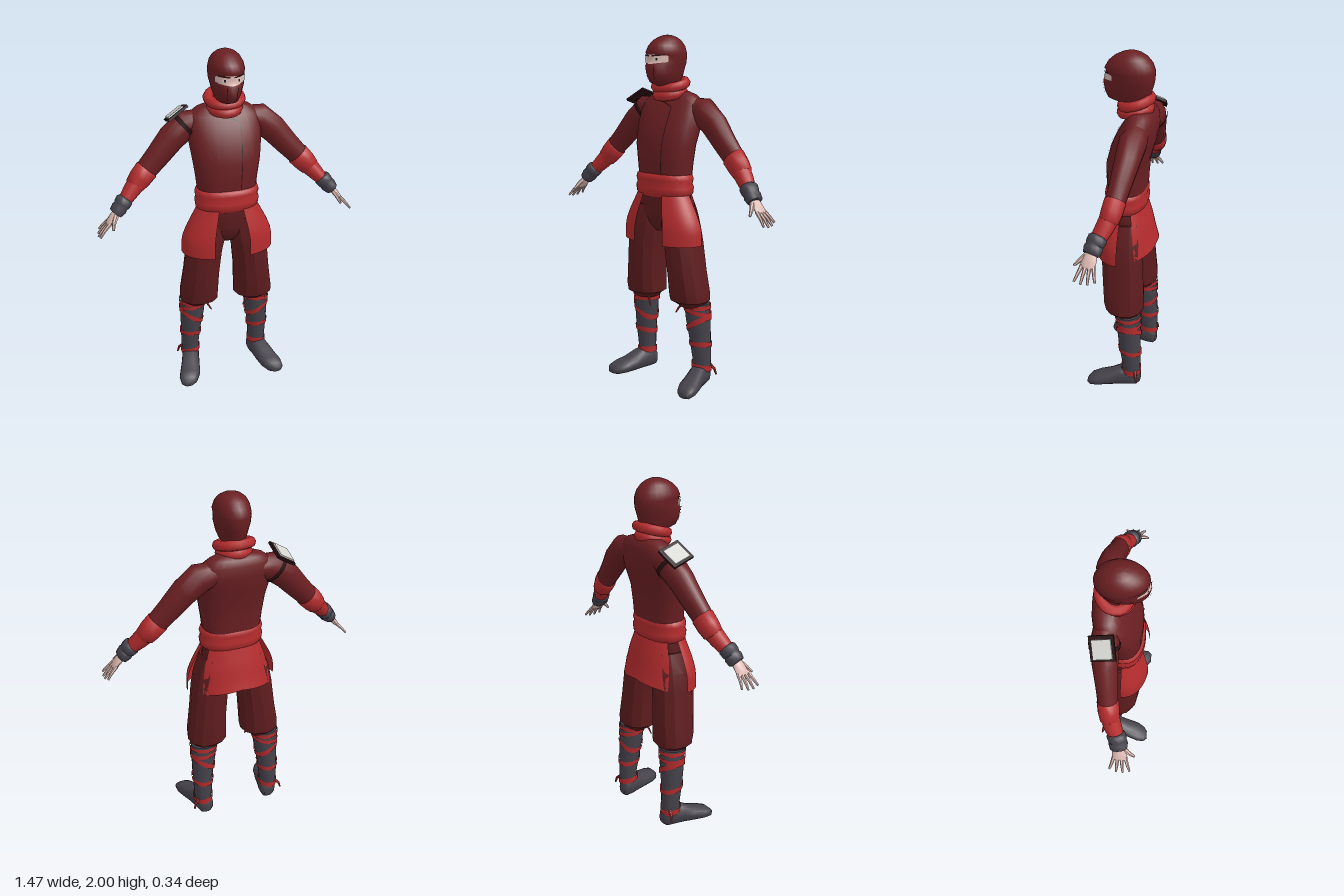
import * as THREE from 'three';
import { toCreasedNormals } from 'three/addons/utils/BufferGeometryUtils.js';

const mat = (name, color, side = THREE.FrontSide) => {
  const m = new THREE.MeshStandardMaterial({ color, side });
  m.name = name;
  return m;
};
const V = (x, y, z) => new THREE.Vector3(x, y, z);
const UP = V(0, 1, 0);
const lerp = THREE.MathUtils.lerp;
const spow = (v, p) => Math.sign(v) * Math.abs(v) ** p;

// Skin a list of point rows; optionally closed around and capped at the ends
function surface(rows, { closed = false, caps = false, crease = 0.9 } = {}) {
  const n = rows[0].length, pos = [], idx = [];
  rows.forEach(r => r.forEach(p => pos.push(p.x, p.y, p.z)));
  for (let i = 0; i < rows.length - 1; i++) {
    for (let j = 0; j < (closed ? n : n - 1); j++) {
      const k = (j + 1) % n, a = i * n + j, b = i * n + k;
      idx.push(a, b, a + n, b, b + n, a + n);
    }
  }
  if (caps) [0, rows.length - 1].forEach((r, end) => {
    const c = rows[r].reduce((s, p) => s.add(p), V(0, 0, 0)).divideScalar(n);
    const ci = pos.length / 3;
    pos.push(c.x, c.y, c.z);
    for (let j = 0; j < n; j++) {
      const a = r * n + j, b = r * n + (j + 1) % n;
      if (end) idx.push(a, b, ci); else idx.push(b, a, ci);
    }
  });
  const g = new THREE.BufferGeometry();
  g.setAttribute('position', new THREE.Float32BufferAttribute(pos, 3));
  g.setIndex(idx);
  return toCreasedNormals(g, crease);
}

// Loft elliptical sections [x, y, z, radiusA, radiusB]; radiusA lies along u
function loft(st, { n = 16, p = 1, u = V(1, 0, 0), dir = null, caps = true, crease = 0.9 } = {}) {
  const c = st.map(s => V(s[0], s[1], s[2]));
  const rows = st.map((s, i) => {
    const d = dir || c[Math.min(i + 1, c.length - 1)].clone().sub(c[Math.max(i - 1, 0)]).normalize();
    const U = u.clone().addScaledVector(d, -d.dot(u)).normalize();
    const W = d.clone().cross(U);
    return Array.from({ length: n }, (_, j) => {
      const t = j / n * Math.PI * 2;
      return c[i].clone().addScaledVector(U, s[3] * spow(Math.cos(t), p)).addScaledVector(W, s[4] * spow(Math.sin(t), p));
    });
  });
  return surface(rows, { closed: true, caps, crease });
}

// Section of an upright profile at height y
function at(prof, y) {
  let i = 0;
  while (i < prof.length - 2 && prof[i + 1][1] < y) i++;
  const a = prof[i], b = prof[i + 1];
  const t = THREE.MathUtils.clamp((y - a[1]) / (b[1] - a[1]), 0, 1);
  return a.map((v, k) => lerp(v, b[k], t));
}

// Thin patch lying just outside an upright profile; angle f runs from +z to +x
function patch(prof, f0, f1, lo, hi, { off = 0.005, p = 1, cols = 16, rows = 4 } = {}) {
  return surface(Array.from({ length: rows + 1 }, (_, i) => Array.from({ length: cols + 1 }, (_, j) => {
    const f = lerp(f0, f1, j / cols), y = lerp(lo(f), hi(f), i / rows), s = at(prof, y);
    return V(s[0] + (s[3] + off) * spow(Math.sin(f), p), y, s[2] + (s[4] + off) * spow(Math.cos(f), p));
  })));
}

export function createModel() {
  const root = new THREE.Group();
  const jacket = mat('dark red jacket', 0x6a1f22);
  const trousers = mat('deep red trousers', 0x5e1c1e);
  const red = mat('bright red cloth', 0xb42b2d, THREE.DoubleSide);
  const grey = mat('charcoal cloth', 0x45424b);
  const skin = mat('skin', 0xe0bcb4);
  const white = mat('pale metal', 0xd6d6d2);
  const dark = mat('near black red', 0x2a1012, THREE.DoubleSide);
  const add = (name, geo, m, parent = root) => {
    const mesh = new THREE.Mesh(geo, m);
    mesh.name = name;
    parent.add(mesh);
    return mesh;
  };
  const rod = (name, pts, r0, r1, m, n = 6) => add(name, loft(
    pts.map((q, i) => { const r = lerp(r0, r1, i / (pts.length - 1)); return [...q, r, r]; }),
    { n, u: V(0.1, 0.2, 1) }), m);

  // Torso
  const torso = [
    [0, 1.18, 0.005, 0.162, 0.105], [0, 1.3, 0.004, 0.175, 0.109], [0, 1.4, 0, 0.19, 0.112],
    [0, 1.5, -0.028, 0.203, 0.113], [0, 1.58, -0.053, 0.207, 0.102], [0, 1.64, -0.07, 0.195, 0.082],
    [0, 1.675, -0.075, 0.15, 0.062], [0, 1.695, -0.07, 0.09, 0.05]];
  add('torso', loft(torso, { n: 24, p: 0.85, dir: UP, crease: 1.2 }), jacket);
  const seam = { p: 0.85, off: 0.004 };
  add('jacketSeam', patch(torso, 0.26, 0.285, () => 1.24, () => 1.61, { ...seam, cols: 1, rows: 16 }), dark);
  add('jacketLapelEdge', patch(torso, 0, 0.285, f => 1.633 - f * 0.1, f => 1.639 - f * 0.1, { ...seam, cols: 6, rows: 1 }), dark);

  // Sash and skirt flaps
  add('sash', loft([
    [0, 1.11, 0.01, 0.16, 0.1], [0, 1.13, 0.01, 0.18, 0.115], [0, 1.165, 0.01, 0.184, 0.119],
    [0, 1.185, 0.01, 0.176, 0.111], [0, 1.21, 0.01, 0.183, 0.117], [0, 1.235, 0.01, 0.175, 0.112],
    [0, 1.246, 0.008, 0.155, 0.098]], { n: 24, p: 0.9, dir: UP }), red);
  const frontSkirt = [
    [0, 0.85, 0.008, 0.265, 0.155], [0, 0.94, 0.008, 0.263, 0.153], [0, 1.01, 0.008, 0.236, 0.142], [0, 1.13, 0.008, 0.172, 0.112]];
  const backSkirt = [
    [0, 0.86, 0, 0.235, 0.175], [0, 0.93, 0, 0.228, 0.153], [0, 1.02, 0.003, 0.212, 0.136], [0, 1.13, 0.008, 0.172, 0.11]];
  for (const s of [1, -1]) {
    const [f0, f1] = s > 0 ? [0.36, 1.6] : [-1.6, -0.36];
    add(s > 0 ? 'leftFrontFlap' : 'rightFrontFlap',
      patch(frontSkirt, f0, f1, () => 0.85, () => 1.13, { off: 0, p: 0.9, cols: 10, rows: 8 }), red);
  }
  add('backFlap', patch(backSkirt, Math.PI - 1.05, Math.PI + 1.05,
    f => 0.89 - 0.03 * Math.abs(f - Math.PI), () => 1.13, { off: 0, cols: 14, rows: 8 }), red);

  // Trouser seat
  add('trouserSeat', loft([
    [0, 0.91, 0, 0.06, 0.06], [0, 0.95, 0.002, 0.14, 0.09], [0, 1.02, 0.004, 0.18, 0.11], [0, 1.14, 0.006, 0.163, 0.105]],
    { n: 20, dir: UP }), trousers);

  // Neck scarf made of two slumped rolls
  for (const [name, y, z, rx, rz, tube, tilt] of [
    ['upperScarfRoll', 1.73, -0.04, 0.088, 0.08, 0.028, 0.27], ['lowerScarfRoll', 1.683, -0.035, 0.075, 0.078, 0.029, 0.2]]) {
    const g = new THREE.TorusGeometry(1, 0.33, 8, 20);
    g.rotateX(Math.PI / 2).scale(rx, tube / 0.33, rz).rotateX(tilt).translate(0, y, z);
    add(name, g, red);
  }

  // Hooded head: rows of height, half width, front z, back z
  const head = [
    [1.66, 0.055, 0.01, -0.1], [1.725, 0.045, 0.06, -0.1], [1.745, 0.06, 0.115, -0.105], [1.78, 0.075, 0.132, -0.12],
    [1.835, 0.089, 0.14, -0.135], [1.85, 0.092, 0.125, -0.138], [1.893, 0.096, 0.123, -0.14], [1.905, 0.097, 0.132, -0.138],
    [1.94, 0.089, 0.112, -0.125], [1.968, 0.073, 0.081, -0.1], [1.987, 0.05, 0.045, -0.07], [1.998, 0.022, 0.012, -0.038], [2, 0.006, -0.006, -0.02]]
    .map(([y, a, f, b]) => [0, y, (f + b) / 2, a, (f - b) / 2]);
  add('hood', loft(head, { n: 24, dir: UP, crease: 1.3 }), jacket);
  add('eyeOpening', patch(head, -0.95, 0.95, f => 1.842 + 0.012 * Math.abs(f), f => 1.893 - 0.008 * f * f), skin);
  for (const s of [1, -1]) {
    const span = (a, b) => s > 0 ? [a, b] : [-b, -a];
    const side = s > 0 ? 'left' : 'right';
    add(side + 'Eyebrow', patch(head, ...span(0.1, 0.75), f => 1.882 + 0.008 * Math.abs(f), f => 1.89 + 0.006 * Math.abs(f), { off: 0.007, rows: 1 }), dark);
    add(side + 'Eye', patch(head, ...span(0.24, 0.52), () => 1.862, () => 1.875, { off: 0.007, cols: 6 }), white);
    add(side + 'Pupil', patch(head, ...span(0.33, 0.43), () => 1.862, () => 1.875, { off: 0.009, cols: 4 }), dark);
    add(side + 'MaskFold', patch(head, ...span(0.3, 0.34), () => 1.76, () => 1.835, { cols: 1, rows: 6 }), dark);
  }

  for (const s of [1, -1]) {
    const side = s > 0 ? 'left' : 'right';
    const m = list => list.map(([x, ...r]) => [s * x, ...r]);
    const armOpt = { n: 14, u: V(0, 0, 1), crease: 1.1 };

    // Sleeve, forearm wraps and cuff
    add(side + 'Sleeve', loft(m([
      [0.12, 1.6, -0.078, 0.06, 0.062], [0.205, 1.585, -0.077, 0.075, 0.082], [0.29, 1.515, -0.07, 0.067, 0.077],
      [0.37, 1.425, -0.058, 0.058, 0.068], [0.455, 1.335, -0.046, 0.051, 0.06]]), armOpt), jacket);
    add(side + 'UpperForearmWrap', loft(m([
      [0.43, 1.36, -0.049, 0.05, 0.058], [0.436, 1.354, -0.048, 0.057, 0.067], [0.475, 1.312, -0.041, 0.057, 0.064],
      [0.505, 1.278, -0.034, 0.053, 0.056], [0.507, 1.275, -0.033, 0.046, 0.05]]), armOpt), red);
    add(side + 'LowerForearmWrap', loft(m([
      [0.49, 1.295, -0.036, 0.05, 0.054], [0.53, 1.252, -0.02, 0.049, 0.047], [0.575, 1.203, 0.004, 0.042, 0.037]]), armOpt), red);
    add(side + 'WristCuff', loft(m([
      [0.565, 1.22, 0, 0.042, 0.038], [0.573, 1.211, 0.003, 0.052, 0.048], [0.592, 1.189, 0.012, 0.05, 0.046],
      [0.598, 1.182, 0.014, 0.046, 0.04], [0.606, 1.172, 0.016, 0.052, 0.045], [0.628, 1.148, 0.02, 0.047, 0.037],
      [0.631, 1.145, 0.021, 0.036, 0.026]]), armOpt), grey);

    // Hand with four fingers and a thumb
    add(side + 'Palm', loft(m([
      [0.61, 1.168, 0.018, 0.028, 0.02], [0.64, 1.133, 0.023, 0.036, 0.019], [0.668, 1.1, 0.028, 0.041, 0.015], [0.677, 1.09, 0.028, 0.036, 0.009]]),
      { ...armOpt, n: 10 }), skin);
    for (const [k, len] of [[-1.5, 0.82], [-0.5, 0.97], [0.5, 1], [1.5, 0.9]]) {
      const z0 = 0.028 + k * 0.02, z1 = 0.03 + k * 0.036;
      rod(side + 'Finger', m([[0.665, 1.102, z0], [0.665 + 0.04 * len, 1.102 - 0.038 * len, (z0 + z1) / 2],
        [0.665 + 0.068 * len, 1.102 - 0.073 * len, z1]]), 0.0115, 0.006, skin);
    }
    rod(side + 'Thumb', m([[0.625, 1.147, 0.04], [0.645, 1.115, 0.075], [0.655, 1.085, 0.105]]), 0.016, 0.007, skin);

    // Baggy trouser leg gathered below the knee
    add(side + 'TrouserLeg', loft(m([
      [0.175, 0.478, -0.035, 0.07, 0.07], [0.172, 0.5, -0.028, 0.088, 0.085], [0.165, 0.52, -0.02, 0.115, 0.11],
      [0.164, 0.565, -0.016, 0.114, 0.118], [0.151, 0.7, -0.006, 0.106, 0.119], [0.135, 0.85, 0.002, 0.105, 0.12],
      [0.115, 0.95, 0.004, 0.108, 0.115], [0.098, 1.06, 0.005, 0.085, 0.1]]), { n: 12, p: 0.9, dir: UP, crease: 0.42 }), trousers);

    // Shin and its crossed bindings
    const shin = m([
      [0.214, 0.07, -0.072, 0.05, 0.053], [0.214, 0.16, -0.073, 0.054, 0.055], [0.21, 0.28, -0.062, 0.061, 0.064],
      [0.2, 0.4, -0.054, 0.072, 0.07], [0.195, 0.5, -0.048, 0.077, 0.072]]);
    add(side + 'Shin', loft(shin, { n: 16, dir: UP }), grey);
    for (const [y, h, tilt, wave] of [[0.482, 0.012, 0, 0], [0.45, 0.012, -0.012, 0.01], [0.378, 0.017, 0.045, 0], [0.25, 0.015, 0.006, 0.012], [0.113, 0.018, -0.008, 0.008]]) {
      const mid = f => y + tilt * s * Math.sin(f) + wave * Math.cos(f);
      add(side + 'ShinBinding', patch(shin, 0, Math.PI * 2, f => mid(f) - h, f => mid(f) + h, { off: 0.006, cols: 24, rows: 2 }), red);
    }
    rod(side + 'KneeCord', m([[0.13, 0.49, 0.005], [0.115, 0.465, 0.02], [0.098, 0.435, 0.025]]), 0.008, 0.004, red);
    rod(side + 'AnkleCord', m([[0.25, 0.115, -0.105], [0.275, 0.095, -0.115], [0.285, 0.06, -0.12]]), 0.011, 0.005, red);

    // Soft shoe, toes turned outward
    add(side + 'Shoe', loft(m([
      [0.205, 0.05, -0.125, 0.028, 0.034], [0.207, 0.057, -0.108, 0.046, 0.056], [0.214, 0.064, -0.06, 0.054, 0.064],
      [0.226, 0.06, -0.01, 0.055, 0.06], [0.242, 0.045, 0.05, 0.06, 0.045], [0.26, 0.036, 0.115, 0.063, 0.036],
      [0.272, 0.029, 0.158, 0.05, 0.029], [0.277, 0.023, 0.178, 0.027, 0.015]]), { n: 14, p: 0.8, dir: V(0, 0, 1), crease: 0.8 }), grey);
  }

  // Shoulder plate on a dark pad, held by a strap on the right arm
  const guard = new THREE.Group();
  guard.name = 'shoulderGuard';
  guard.position.set(-0.257, 1.65, -0.082);
  guard.rotation.set(-0.3, 0, 0.58);
  root.add(guard);
  add('shoulderPad', new THREE.BoxGeometry(0.13, 0.014, 0.13), dark, guard);
  add('shoulderPlate', new THREE.BoxGeometry(0.1, 0.009, 0.1), white, guard).position.set(-0.004, 0.011, 0);
  add('shoulderStrap', loft([[-0.203, 1.587, -0.077, 0.081, 0.088], [-0.222, 1.571, -0.076, 0.08, 0.088]],
    { n: 18, u: V(0, 0, 1), caps: false }), dark);

  return root;
}
